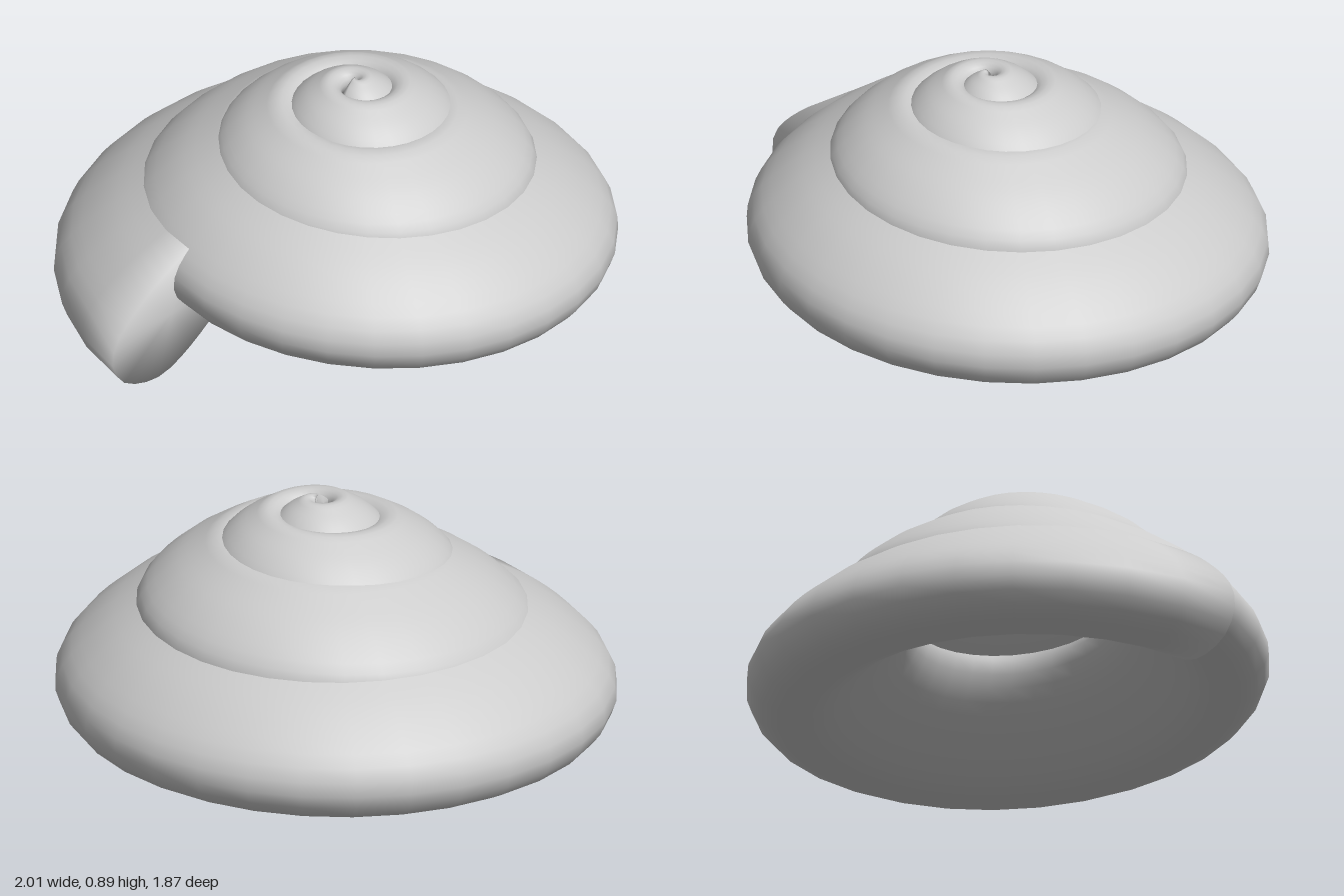
import * as THREE from 'three';

const TURNS = 4, STEPS = 32, SIDES = 32;

// Growth of the whorl every half turn, from the mouth to the apex:
// x = distance of the tube centre from the axis, y = its height, z = section scale
const growth = new THREE.CatmullRomCurve3([
  [0.808, 0.241, 1], [0.69, 0.293, 0.95], [0.578, 0.434, 0.85],
  [0.474, 0.54, 0.71], [0.377, 0.645, 0.55], [0.268, 0.728, 0.42],
  [0.168, 0.785, 0.33], [0.1, 0.812, 0.26], [0.03, 0.852, 0.13],
].map(p => new THREE.Vector3(...p)), false, 'catmullrom');

// Slanted section: round lower rim, straight upper flank, long inner side.
// x points away from the axis, y up
const section = new THREE.CatmullRomCurve3([
  [0.261, -0.11], [0.21, -0.2], [0.08, -0.241], [-0.02, -0.21],
  [-0.24, -0.03], [-0.32, 0.08], [-0.34, 0.17], [-0.27, 0.26],
  [-0.16, 0.28], [-0.08, 0.24], [0.1, 0.125], [0.241, -0.02],
].map(p => new THREE.Vector3(...p, 0)), true).getSpacedPoints(SIDES).slice(0, SIDES);

function spiralTube() {
  const position = [], index = [];
  const rings = TURNS * STEPS;
  const g = new THREE.Vector3();
  const addPoint = (angle, r, y) =>
    position.push(0.068 - Math.cos(angle) * r, y, 0.065 - Math.sin(angle) * r);

  for (let i = 0; i <= rings; i++) {
    growth.getPoint(i / rings, g);
    const angle = (i / STEPS) * Math.PI * 2;
    const scale = i === rings ? 0 : g.z; // close the tube at the apex
    section.forEach((s, j) => {
      addPoint(angle, g.x + s.x * scale, g.y + s.y * scale);
      if (i === rings) return;
      const k = (j + 1) % SIDES, here = i * SIDES, next = here + SIDES;
      index.push(here + j, next + j, here + k, here + k, next + j, next + k);
    });
  }

  // Wall across the mouth, blended smoothly into the lip
  const centre = position.length / 3;
  growth.getPoint(0, g);
  addPoint(0, g.x, g.y);
  for (let j = 0; j < SIDES; j++) index.push(centre, j, (j + 1) % SIDES);

  const geometry = new THREE.BufferGeometry();
  geometry.setAttribute('position', new THREE.Float32BufferAttribute(position, 3));
  geometry.setIndex(index);
  geometry.computeVertexNormals();
  return geometry;
}

export function createModel() {
  const group = new THREE.Group();
  group.name = 'snailShell';

  // One coiled tube from the mouth to the apex
  const shell = new THREE.Mesh(spiralTube(), new THREE.MeshStandardMaterial({
    color: 0xcccccc, side: THREE.DoubleSide,
  }));
  shell.name = 'spiralWhorls';
  group.add(shell);
  return group;
}
